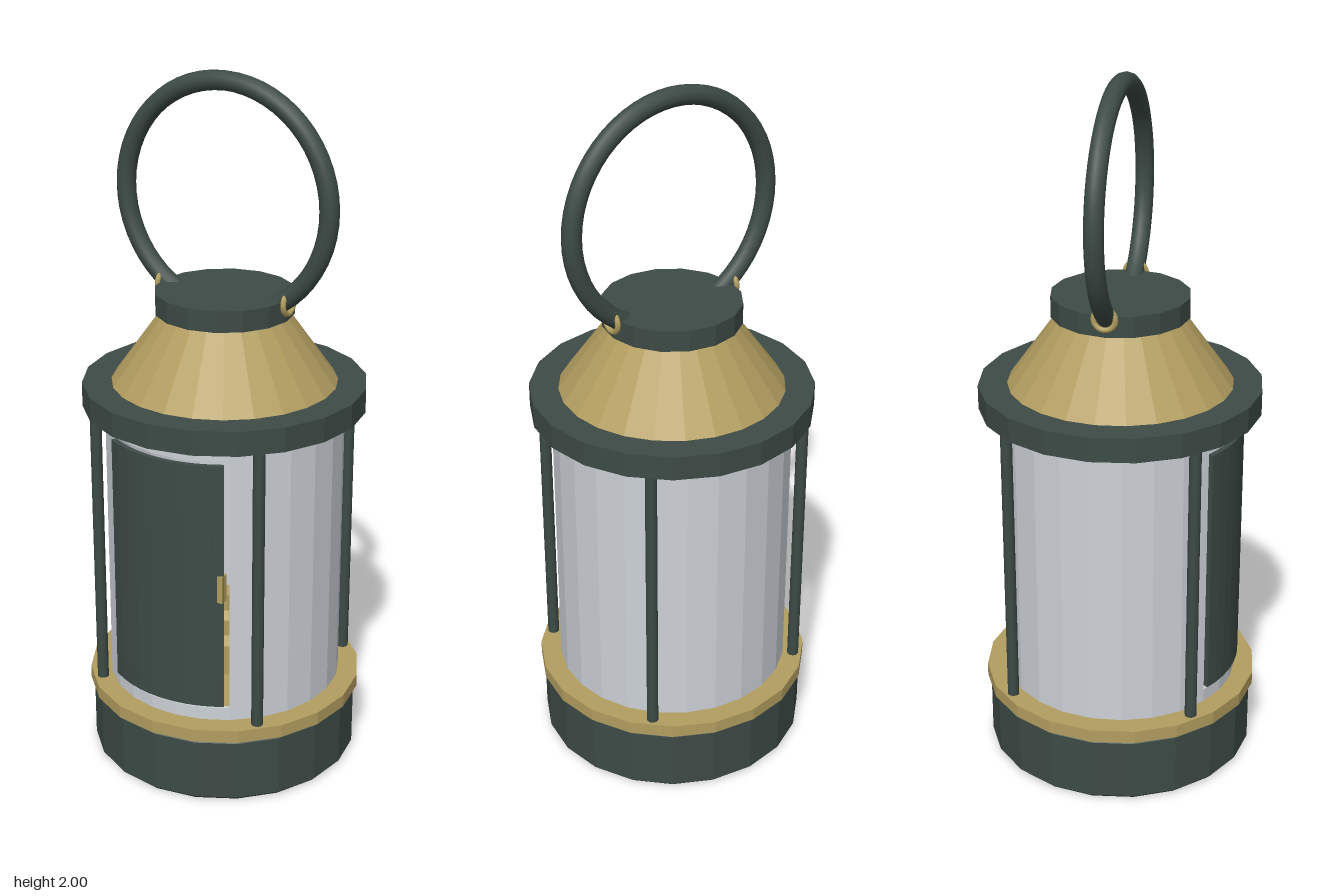
import * as THREE from 'three';

const rad = THREE.MathUtils.degToRad;

// Split shared vertices so every facet gets its own normal
function flat(geometry) {
  const g = geometry.index ? geometry.toNonIndexed() : geometry;
  g.computeVertexNormals();
  return g;
}

function disc(rBottom, rTop, y0, y1, sides) {
  return flat(new THREE.CylinderGeometry(rTop, rBottom, y1 - y0, sides).translate(0, (y0 + y1) / 2, 0));
}

function lathe(points, sides) {
  return flat(new THREE.LatheGeometry(points.map(([x, y]) => new THREE.Vector2(x, y)), sides));
}

// Curved wall with thickness; angles in degrees from the front (+z) towards +x
function curvedWall(rInner, rOuter, a0, a1, y0, y1, segments) {
  const points = [];
  const add = (r, t) => {
    const a = rad(a0 + (a1 - a0) * t);
    points.push(new THREE.Vector2(r * Math.sin(a), -r * Math.cos(a)));
  };
  for (let i = 0; i <= segments; i++) add(rOuter, i / segments);
  for (let i = segments; i >= 0; i--) add(rInner, i / segments);
  const g = new THREE.ExtrudeGeometry(new THREE.Shape(points), { depth: y1 - y0, bevelEnabled: false });
  return flat(g.rotateX(-Math.PI / 2).translate(0, y0, 0));
}

export function createModel() {
  const darkGreen = new THREE.MeshStandardMaterial({ color: 0x3d4b46 });
  darkGreen.name = 'dark green metal';
  const brass = new THREE.MeshStandardMaterial({ color: 0xb39e60 });
  brass.name = 'brass';
  const glass = new THREE.MeshStandardMaterial({ color: 0xcdd2d8 });
  glass.name = 'pale glass';

  const lantern = new THREE.Group();
  lantern.name = 'lantern';
  const add = (name, geometry, material, parent = lantern) => {
    const mesh = new THREE.Mesh(geometry, material);
    mesh.name = name;
    parent.add(mesh);
    return mesh;
  };

  // Base with softened edges and brass collar
  add('base', lathe([[0, 0], [0.38, 0], [0.39, 0.01], [0.39, 0.188], [0.38, 0.198], [0, 0.198]], 20), darkGreen);
  add('baseCollar', disc(0.4, 0.4, 0.198, 0.236, 20), brass);

  // Glass body: wall around the doorway, plus strips below and above it
  const body = new THREE.Group();
  body.name = 'glassBody';
  lantern.add(body);
  add('glassWall', curvedWall(0.33, 0.34, 33, 327, 0.236, 1.07, 20), glass, body);
  add('glassSill', curvedWall(0.33, 0.34, -33, 33, 0.236, 0.275, 5), glass, body);
  add('glassLintel', curvedWall(0.33, 0.34, -33, 33, 1.03, 1.07, 5), glass, body);

  // Burner inside
  add('burner', lathe([[0, 0.236], [0.09, 0.236], [0.09, 0.33], [0.06, 0.35],
    [0.06, 0.4], [0.035, 0.42], [0.035, 0.47], [0, 0.47]], 16), brass);

  // Curved door and its latch
  const door = new THREE.Group();
  door.name = 'door';
  lantern.add(door);
  add('doorPanel', curvedWall(0.335, 0.35, -32, 30.5, 0.285, 1.02, 10), darkGreen, door);
  const latch = add('doorLatch', new THREE.BoxGeometry(0.016, 0.08, 0.026), brass, door);
  latch.position.set(0.168, 0.655, 0.298);

  // Four corner posts
  for (let i = 0; i < 4; i++) {
    const a = rad(45 + i * 90);
    const post = add('post', new THREE.CylinderGeometry(0.017, 0.017, 0.85, 10), darkGreen);
    post.position.set(0.37 * Math.sin(a), 0.65, 0.37 * Math.cos(a));
  }

  // Roof
  add('roofRim', disc(0.4, 0.4, 1.07, 1.14, 20), darkGreen);
  add('roofCone', disc(0.318, 0.175, 1.14, 1.34, 24), brass);
  add('roofCap', disc(0.195, 0.195, 1.34, 1.4, 16), darkGreen);

  // Carrying ring, its ends sunk into the cap
  const start = -62;
  const ring = add('handle', new THREE.TorusGeometry(0.318, 0.027, 12, 48, rad(180 - 2 * start)), darkGreen);
  ring.rotation.z = rad(start);
  ring.position.y = 1.655;

  // Brass eyelets holding the ring
  for (const side of [-1, 1]) {
    const eyelet = add('eyelet', new THREE.TorusGeometry(0.03, 0.008, 8, 20), brass);
    eyelet.rotation.y = Math.PI / 2;
    eyelet.position.set(side * 0.2, 1.393, 0);
  }
  return lantern;
}
